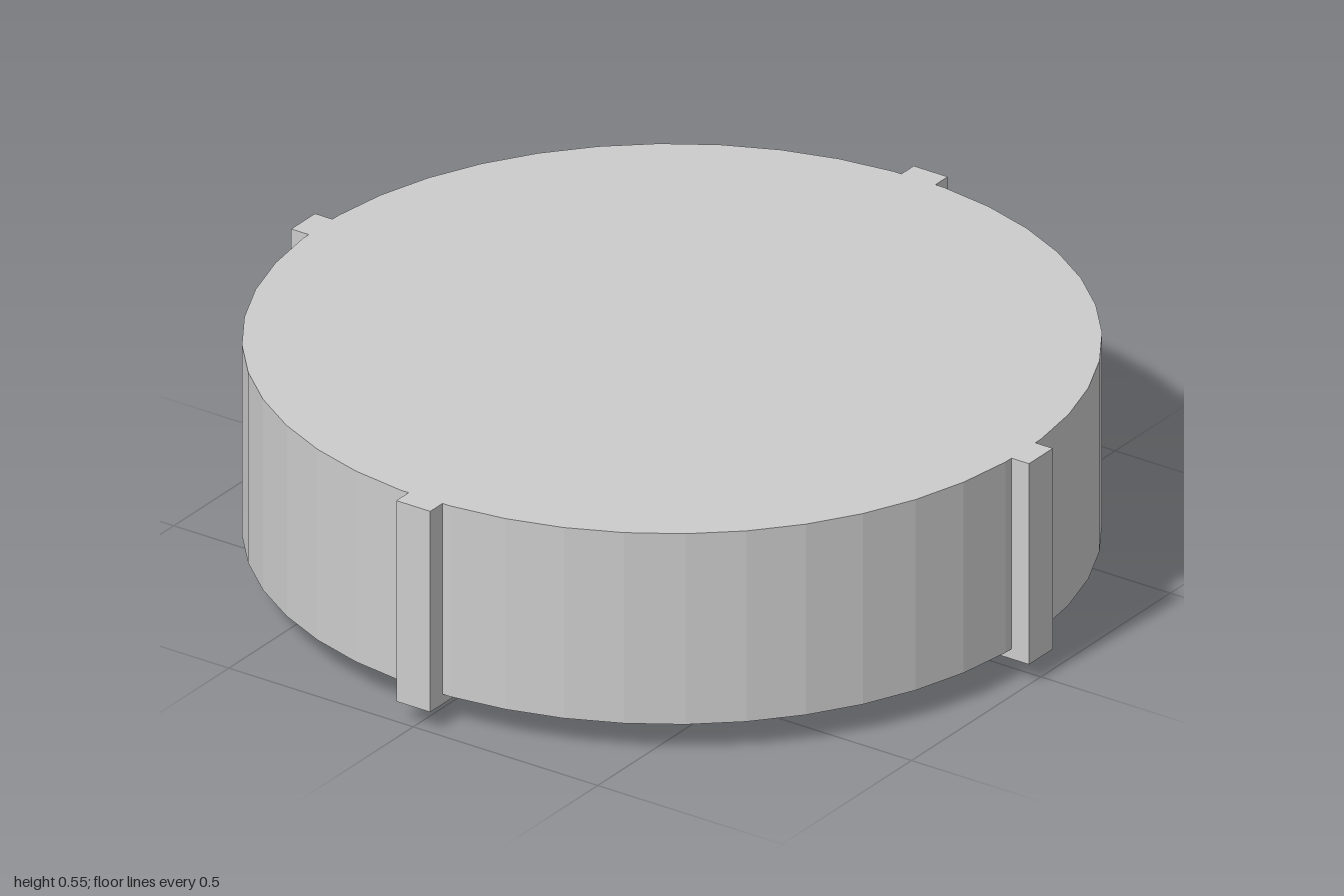
import * as THREE from 'three';

export function createModel() {
  const group = new THREE.Group();
  const material = new THREE.MeshStandardMaterial({ color: 0xcccccc, flatShading: true });
  const add = (name, geometry) => {
    const mesh = new THREE.Mesh(geometry, material);
    mesh.name = name;
    group.add(mesh);
    return mesh;
  };

  const top = 0.55, discBottom = 0.075, ribBottom = 0.05;
  const radius = 0.955, sides = 44, half = 0.046;
  const flat = radius * Math.cos(Math.PI / sides); // distance to the middle of a facet

  // Faceted disc, turned so a flat facet sits behind each rib
  const disc = new THREE.CylinderGeometry(radius, radius, top - discBottom, sides, 1, false, Math.PI / sides);
  add('disc', disc).position.y = (top + discBottom) / 2;

  // Four L-shaped ribs: along the underside, then up the rim
  const profile = new THREE.Shape([
    [half, ribBottom], [1, ribBottom], [1, top], [flat, top], [flat, discBottom], [half, discBottom],
  ].map(([x, y]) => new THREE.Vector2(x, y)));
  const rib = new THREE.ExtrudeGeometry(profile, { depth: half * 2, bevelEnabled: false });
  rib.translate(0, 0, -half);
  for (let i = 0; i < 4; i++) add('rib', rib).rotation.y = i * Math.PI / 2;

  // Square centre foot with rounded lower edges
  const round = 0.028, points = [new THREE.Vector2(0, 0)];
  for (let i = 0; i <= 6; i++) {
    const a = (i / 6) * Math.PI / 2;
    const x = half - round + round * Math.sin(a);
    points.push(new THREE.Vector2(x * Math.SQRT2, round - round * Math.cos(a)));
  }
  points.push(new THREE.Vector2(half * Math.SQRT2, discBottom));
  add('centreFoot', new THREE.LatheGeometry(points, 4, Math.PI / 4));

  return group;
}
